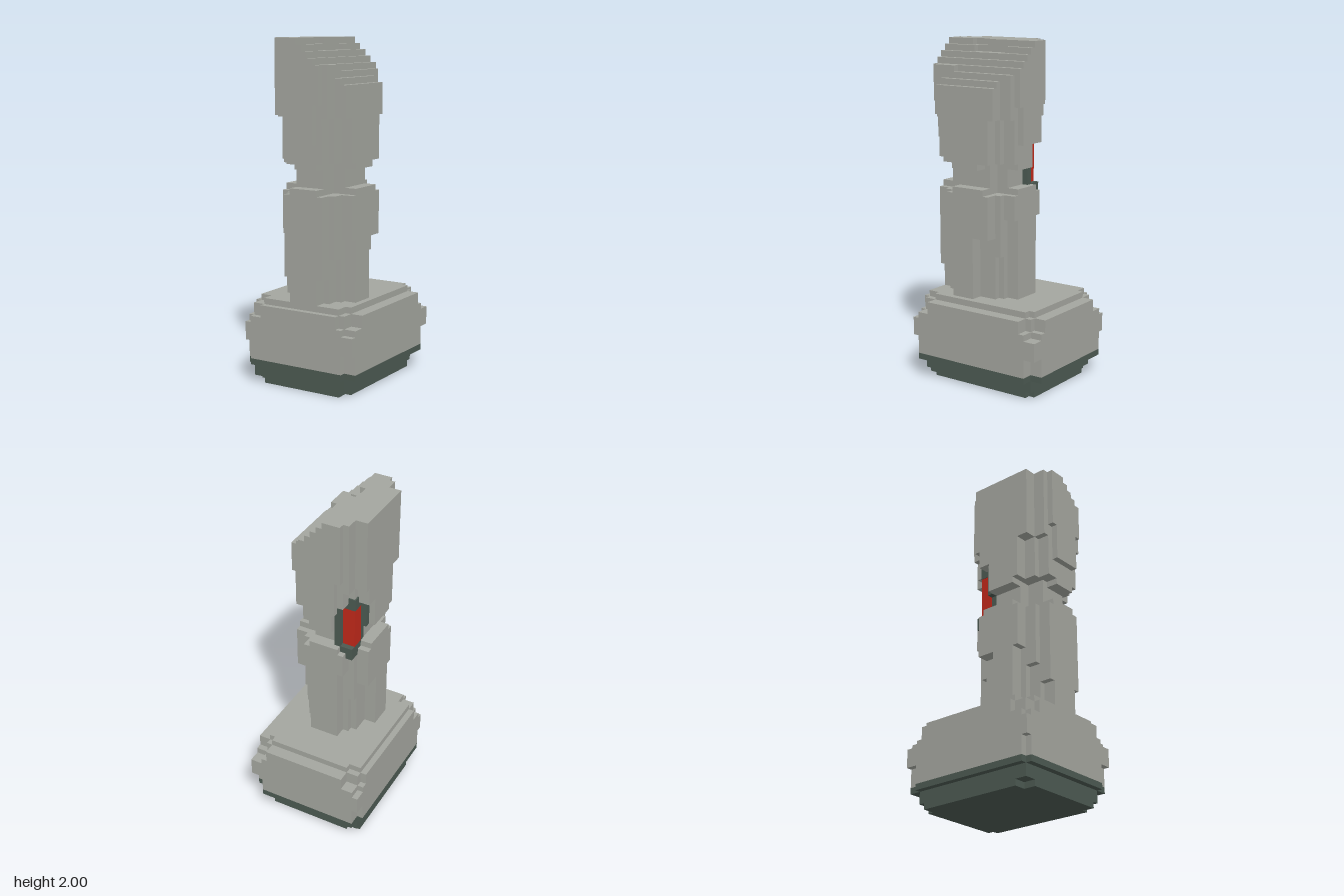
import * as THREE from 'three';

const V = 2 / 55; // one block

export function createModel() {
  const mat = (name, color) => {
    const m = new THREE.MeshStandardMaterial({ color });
    m.name = name;
    return m;
  };
  const stone = mat('grey stone', 0xa4a69f);
  const dark = mat('dark green stone', 0x4c5a52);
  const red = mat('red', 0xc0281a);

  const root = new THREE.Group();
  root.name = 'monument';
  const part = (name) => {
    const g = new THREE.Group();
    g.name = name;
    root.add(g);
    return g;
  };
  // Box between block coordinates
  const box = (group, m, x0, x1, y0, y1, z0, z1) => {
    const mesh = new THREE.Mesh(
      new THREE.BoxGeometry((x1 - x0) * V, (y1 - y0) * V, (z1 - z0) * V), m);
    mesh.position.set((x0 + x1) / 2 * V, (y0 + y1) / 2 * V, (z0 + z1) / 2 * V);
    mesh.name = group.name + 'Block';
    group.add(mesh);
  };
  // Plus-shaped slab: outer rectangle whose corners are cut back to the inner one
  const cross = (group, m, y0, y1, [ox0, ox1, oz0, oz1], [ix0, ix1, iz0, iz1]) => {
    box(group, m, ox0, ox1, y0, y1, iz0, iz1);
    box(group, m, ix0, ix1, y0, y1, oz0, iz0);
    box(group, m, ix0, ix1, y0, y1, iz1, oz1);
  };

  const full = [-10, 10, -12, 12];
  const inset = [-9, 8, -10, 11];
  const cut = [-7, 7, -9, 9];

  // Dark plinth
  const foot = part('foot');
  cross(foot, dark, 0, 1, inset, cut);
  box(foot, dark, -9, 8, 1, 3, -10, 11);
  cross(foot, dark, 3, 4, full, inset);

  // Stone base with notched corners
  const base = part('base');
  cross(base, stone, 4, 7, full, inset);
  box(base, stone, -10, 10, 7, 10, -12, 12);
  cross(base, stone, 10, 11, full, inset);
  cross(base, stone, 11, 13, full, cut);
  box(base, stone, -9, 8, 11, 13, -10, 11);
  cross(base, stone, 13, 14, inset, cut);

  // Shaft, chipped towards the foot
  const shaft = part('shaft');
  box(shaft, stone, -4, 5, 21, 31, -2, 9);
  box(shaft, stone, -4, 5, 14, 21, -1, 7);
  box(shaft, stone, -3, 4, 14, 21, -2, 9);
  box(shaft, stone, -3, 4, 18, 31, 9, 11);
  box(shaft, stone, -2, 3, 14, 18, 9, 11);
  box(shaft, stone, -3, 4, 27, 31, -4, -2);
  box(shaft, stone, -2, 3, 14, 27, -4, -2);
  box(shaft, stone, -6, 7, 24, 31, -1, 7);
  box(shaft, stone, -6, 7, 14, 24, 2, 6);

  // Neck with a lip above and below
  const neck = part('neck');
  cross(neck, stone, 31, 32, [-6, 7, -4, 11], [-2, 3, 0, 6]);
  box(neck, stone, -2, 3, 31, 36, -2, 9);
  box(neck, stone, -4, 5, 31, 36, 0, 6);
  cross(neck, stone, 35, 36, [-5, 7, -4, 11], [-1, 3, 1, 6]);
  box(neck, stone, -6, -5, 35, 36, 1, 6);

  // Lower head, open at the back corner for the socket
  const head = part('lowerHead');
  box(head, stone, -4, 5, 36, 43, -2, 9);
  box(head, stone, -3, 4, 36, 43, 9, 11);
  box(head, stone, -1, 4, 36, 40, -4, -2);
  box(head, stone, -3, 4, 40, 43, -4, -2);
  box(head, stone, -6, -4, 36, 40, 1, 7);
  box(head, stone, -6, -4, 40, 43, -1, 7);
  box(head, stone, 5, 7, 36, 43, -1, 7);
  box(head, stone, -2, 3, 39, 45, 11, 12);
  box(head, stone, -2, 3, 39, 45, -5, -4);

  // Upper head: one slice per block, tops stepping down to one side
  const upper = part('upperHead');
  const tops = [55, 55, 55, 55, 55, 55, 54, 53, 52, 51, 51, 49, 48];
  tops.forEach((top, i) => {
    const x = i - 6;
    const side = x < -4 || x > 4;
    const z0 = side ? -2 : -4, z1 = side ? 9 : 11;
    if (x === -1) { // chip in the top edge
      box(upper, stone, x, x + 1, 43, 54, z0, z1);
      box(upper, stone, x, x + 1, 54, 55, z0, 4);
      box(upper, stone, x, x + 1, 54, 55, 7, z1);
    } else if (x === 0) {
      box(upper, stone, x, x + 1, 43, 53, z0, z1);
      box(upper, stone, x, x + 1, 53, 54, z0, 0);
      box(upper, stone, x, x + 1, 53, 54, 6, z1);
    } else if (x === 4) {
      box(upper, stone, x, x + 1, 43, 50, z0, z1);
      box(upper, stone, x, x + 1, 50, 51, 7, z1);
    } else {
      box(upper, stone, x, x + 1, 43, top, z0, z1);
    }
    if (x >= -3 && x < 4) { // raised front and back faces
      box(upper, stone, x, x + 1, 45, top, 11, 12);
      box(upper, stone, x, x + 1, 45, top, -5, -4);
    }
  });

  // Dark socket around the red block
  const socket = part('socket');
  box(socket, dark, -2, -1, 32, 40, -3, 0);
  box(socket, dark, -5, -4, 35, 40, 0, 1);
  box(socket, dark, -4.05, -2, 32, 35, 0, 1);
  box(socket, dark, -4.2, -2, 39, 41, -2.2, 0);
  box(socket, dark, -4.1, -2, 30, 32.1, -3, 0);
  const core = part('redCore');
  box(core, red, -4.1, -2.02, 32.1, 39, -2.1, -0.02);

  return root;
}
